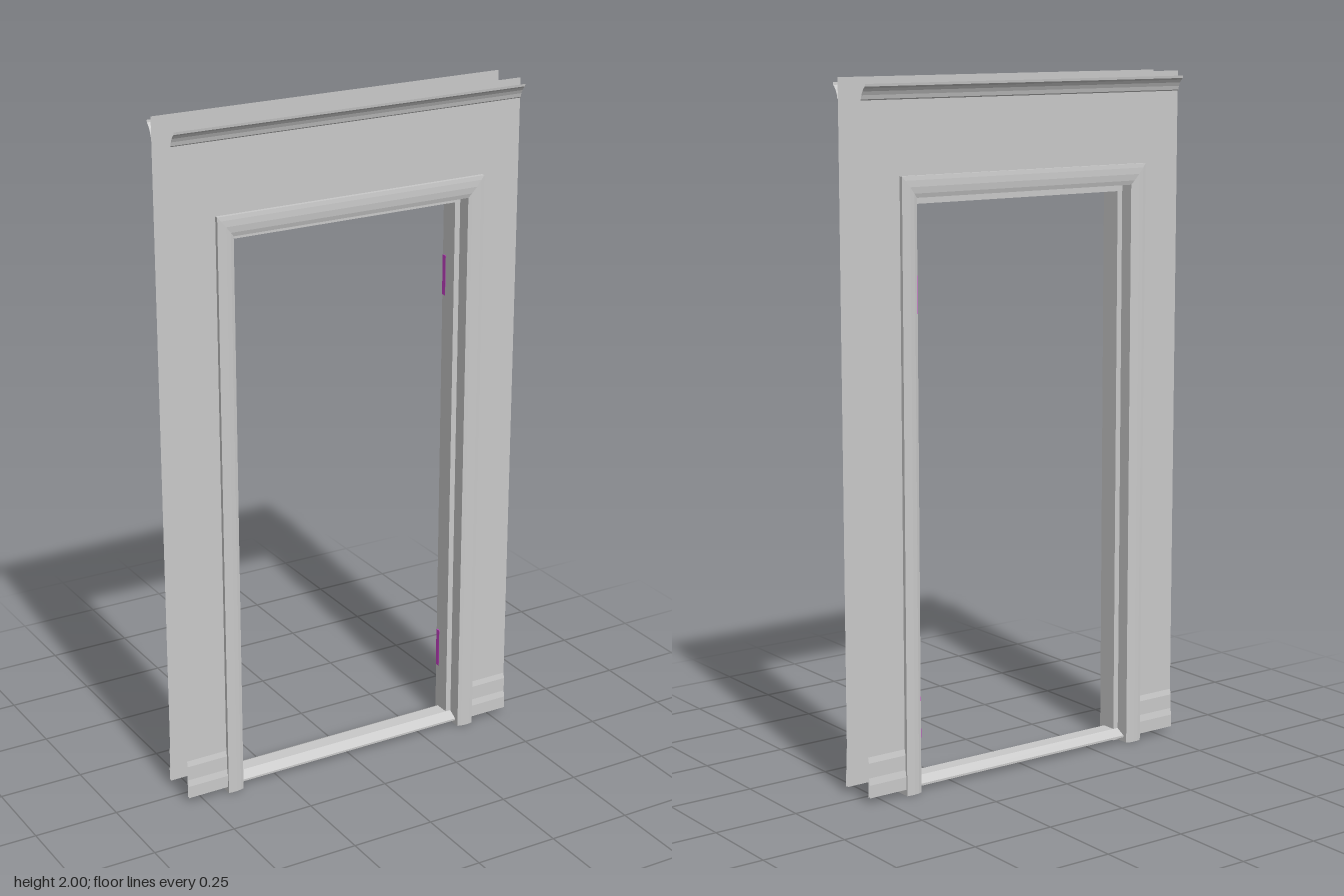
import * as THREE from 'three';

const grey = new THREE.MeshStandardMaterial({ color: 0xc9c9c9, side: THREE.DoubleSide });
grey.name = 'painted grey';
const purple = new THREE.MeshStandardMaterial({ color: 0xc641c6 });
purple.name = 'hinge purple';

// Flat-shaded skin through a row of matching cross-sections
function loft(sections) {
  const pos = [];
  for (let i = 0; i < sections.length - 1; i++) {
    for (let j = 0; j < sections[i].length - 1; j++) {
      const a = sections[i][j], b = sections[i][j + 1];
      const d = sections[i + 1][j], c = sections[i + 1][j + 1];
      pos.push(...a, ...d, ...c, ...a, ...c, ...b);
    }
  }
  const g = new THREE.BufferGeometry();
  g.setAttribute('position', new THREE.Float32BufferAttribute(pos, 3));
  g.computeVertexNormals();
  return g;
}

function add(parent, name, geometry, material = grey) {
  const mesh = new THREE.Mesh(geometry, material);
  mesh.name = name;
  parent.add(mesh);
  return mesh;
}

// Moulding: a (y, z) profile run along x
const moulding = (profile, x0, x1) =>
  loft([x0, x1].map(x => profile.map(([y, z]) => [x, y, z])));

const W = 0.547, WALL_Z = 0.055;
const CROWN = [[1.942, WALL_Z], [1.945, 0.058], [1.956, 0.061], [1.966, 0.066], [1.974, 0.072], [1.979, 0.078], [1.986, 0.079]];
const BASE = [[0.018, 0.062], [0.055, 0.062], [0.075, 0.0585], [0.118, 0.0585], [0.135, WALL_Z]];

// One wall face with its crown and skirting
function wallSide(name) {
  const side = new THREE.Group();
  side.name = name;
  const s = new THREE.Shape();
  [[-W, 0.018], [-0.4, 0.018], [-0.4, 1.72], [0.4, 1.72], [0.4, 0.018], [W, 0.018], [W, 2], [-W, 2]]
    .forEach(([x, y], i) => (i ? s.lineTo(x, y) : s.moveTo(x, y)));
  add(side, 'wallPanel', new THREE.ShapeGeometry(s)).position.z = WALL_Z;
  add(side, 'crownMoulding', moulding(CROWN, -W, W));
  add(side, 'skirtingRight', moulding(BASE, -W, -0.41));
  add(side, 'skirtingLeft', moulding(BASE, 0.41, W));
  return side;
}

// Frame section as (inward distance, z): casing, outer face, casing, rebates and stop
const HALF = [[0.05, 0.022], [0.05, 0.063], [0.04, 0.0665], [0.025, 0.0685], [0.01, 0.068], [0, 0.0665]];
const STOP = 0.067;
const SECTION = [
  [STOP, 0.022], ...HALF,
  ...HALF.map(([u, z]) => [u, -z]).reverse(),
  [STOP, -0.022], [STOP, 0.022],
];

function doorFrame() {
  const frame = new THREE.Group();
  frame.name = 'doorFrame';
  const half = 0.4225, top = 1.738;
  // Mitred run: up one jamb, across the slightly deeper head, down the other
  const stations = [[-1, false], [-1, true], [1, true], [1, false]];
  add(frame, 'jambsAndHead', loft(stations.map(([s, up]) =>
    SECTION.map(([u, z]) => [s * (half - u), up ? top - u * 1.2 : 0, z]))));

  // Jamb feet
  for (const s of [-1, 1]) {
    const foot = new THREE.Shape(SECTION.map(([u, z]) => new THREE.Vector2(s * (half - u), z)));
    add(frame, s < 0 ? 'jambFootRight' : 'jambFootLeft', new THREE.ShapeGeometry(foot).rotateX(Math.PI / 2));
  }

  // Threshold with sloped edges
  const sill = [[0.014, -0.05], [0.014, 0.05], [0.02, 0.05], [0.036, 0.022], [0.036, -0.022], [0.02, -0.05], [0.014, -0.05]];
  add(frame, 'threshold', moulding(sill, -0.372, 0.372));

  // Hinges in the rear rebate of one jamb
  for (const y of [0.22, 1.42]) {
    const hinge = new THREE.Group();
    hinge.name = 'hinge';
    add(hinge, 'hingeLeaf', new THREE.BoxGeometry(0.005, 0.12, 0.036), purple);
    const pin = add(hinge, 'hingePin', new THREE.CylinderGeometry(0.003, 0.003, 0.12, 10), purple);
    pin.position.x = -0.002;
    hinge.position.set(0.372, y, -0.042);
    frame.add(hinge);
  }
  frame.position.x = 0.0025;
  return frame;
}

export function createModel() {
  const model = new THREE.Group();
  model.name = 'doorway';
  const back = wallSide('backWall');
  back.rotation.y = Math.PI;
  model.add(wallSide('frontWall'), back, doorFrame());
  return model;
}
